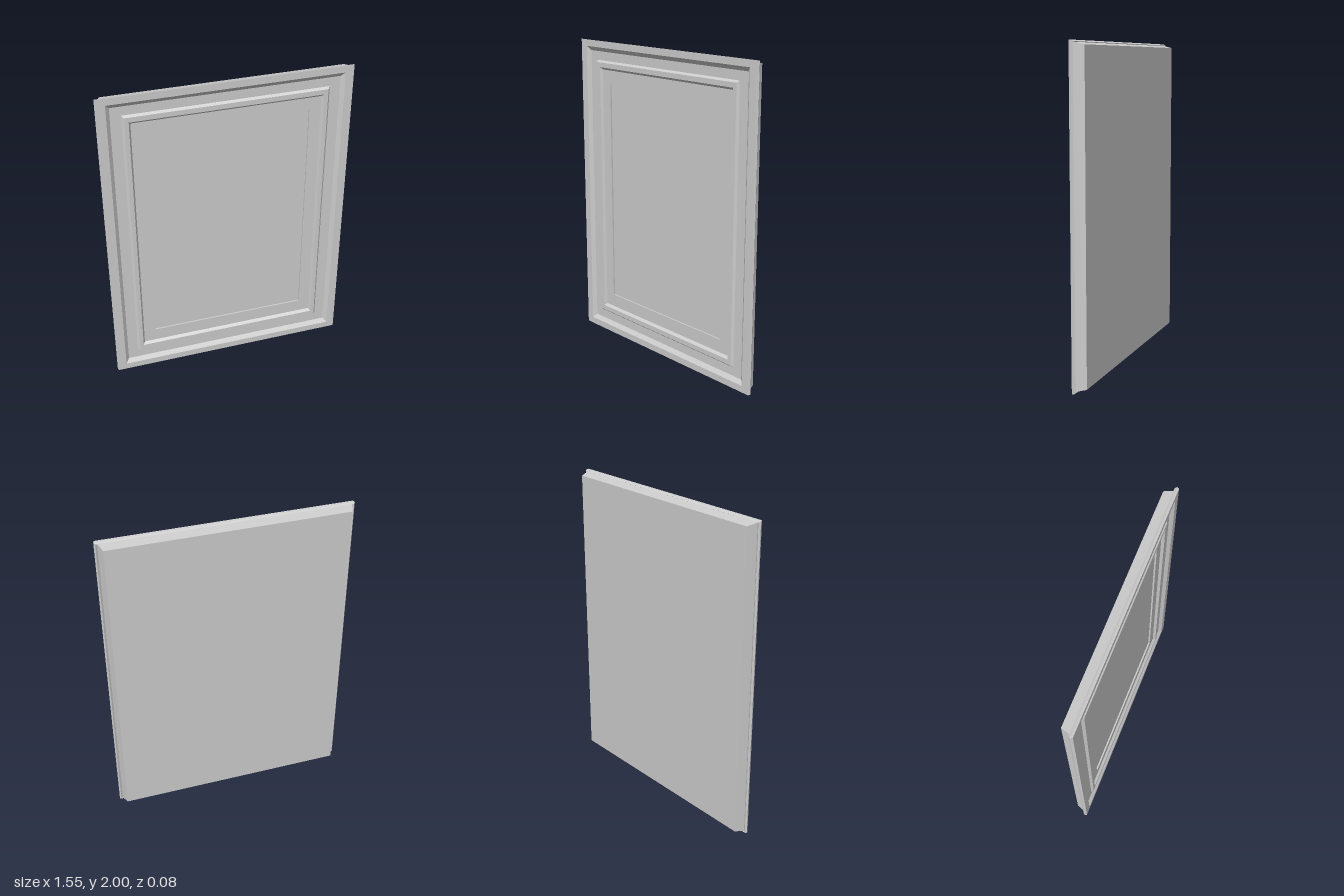
import * as THREE from 'three';

const material = new THREE.MeshStandardMaterial({ color: 0xcccccc, flatShading: true });
const MID_Y = 1;

// Skin nested rectangles, each [halfWidth, halfHeight, z], listed from the back
// outwards and then inwards over the front. Caps close the first or last one.
function rectangleLoft(name, loops, { capStart = false, capEnd = false } = {}) {
  const signs = [[-1, -1], [1, -1], [1, 1], [-1, 1]];
  const positions = [];
  const corner = ([hx, hy, z], i) => {
    const [sx, sy] = signs[i % 4];
    return [sx * hx, MID_Y + sy * hy, z];
  };
  const quad = (a, b, c, d) => positions.push(...a, ...b, ...c, ...a, ...c, ...d);

  for (let k = 0; k < loops.length - 1; k++) {
    for (let i = 0; i < 4; i++) {
      quad(corner(loops[k], i), corner(loops[k], i + 1),
        corner(loops[k + 1], i + 1), corner(loops[k + 1], i));
    }
  }
  const first = loops[0];
  const last = loops[loops.length - 1];
  if (capStart) quad(corner(first, 3), corner(first, 2), corner(first, 1), corner(first, 0));
  if (capEnd) quad(corner(last, 0), corner(last, 1), corner(last, 2), corner(last, 3));

  const geometry = new THREE.BufferGeometry();
  geometry.setAttribute('position', new THREE.Float32BufferAttribute(positions, 3));
  geometry.computeVertexNormals();
  const mesh = new THREE.Mesh(geometry, material);
  mesh.name = name;
  return mesh;
}

export function createModel() {
  const group = new THREE.Group();
  group.name = 'panelledDoor';

  // Shared rectangles where the parts meet
  const frontEdge = [0.77, 1, 0.04];
  const frameInner = [0.63, 0.873, 0.02];
  const mouldingInner = [0.58, 0.815, 0.018];

  // Flat back, tapered sides and the small hooked lip along the side edges
  group.add(rectangleLoft('backAndEdges', [
    [0.737, 0.974, -0.04],
    [0.757, 0.988, 0.022],
    [0.769, 0.991, 0.015],
    [0.777, 0.997, 0.026],
    frontEdge,
  ], { capStart: true }));

  // Outer frame with its bevel down to the sunken border
  group.add(rectangleLoft('outerFrame', [
    frontEdge,
    [0.718, 0.957, 0.04],
    [0.695, 0.93, 0.02],
    frameInner,
  ]));

  // Raised bead around the field
  group.add(rectangleLoft('raisedMoulding', [
    frameInner,
    [0.617, 0.861, 0.034],
    [0.592, 0.83, 0.034],
    mouldingInner,
  ]));

  // Field with the shallow sunken centre
  group.add(rectangleLoft('centrePanel', [
    mouldingInner,
    [0.508, 0.73, 0.018],
    [0.508, 0.73, 0.008],
  ], { capEnd: true }));

  return group;
}
